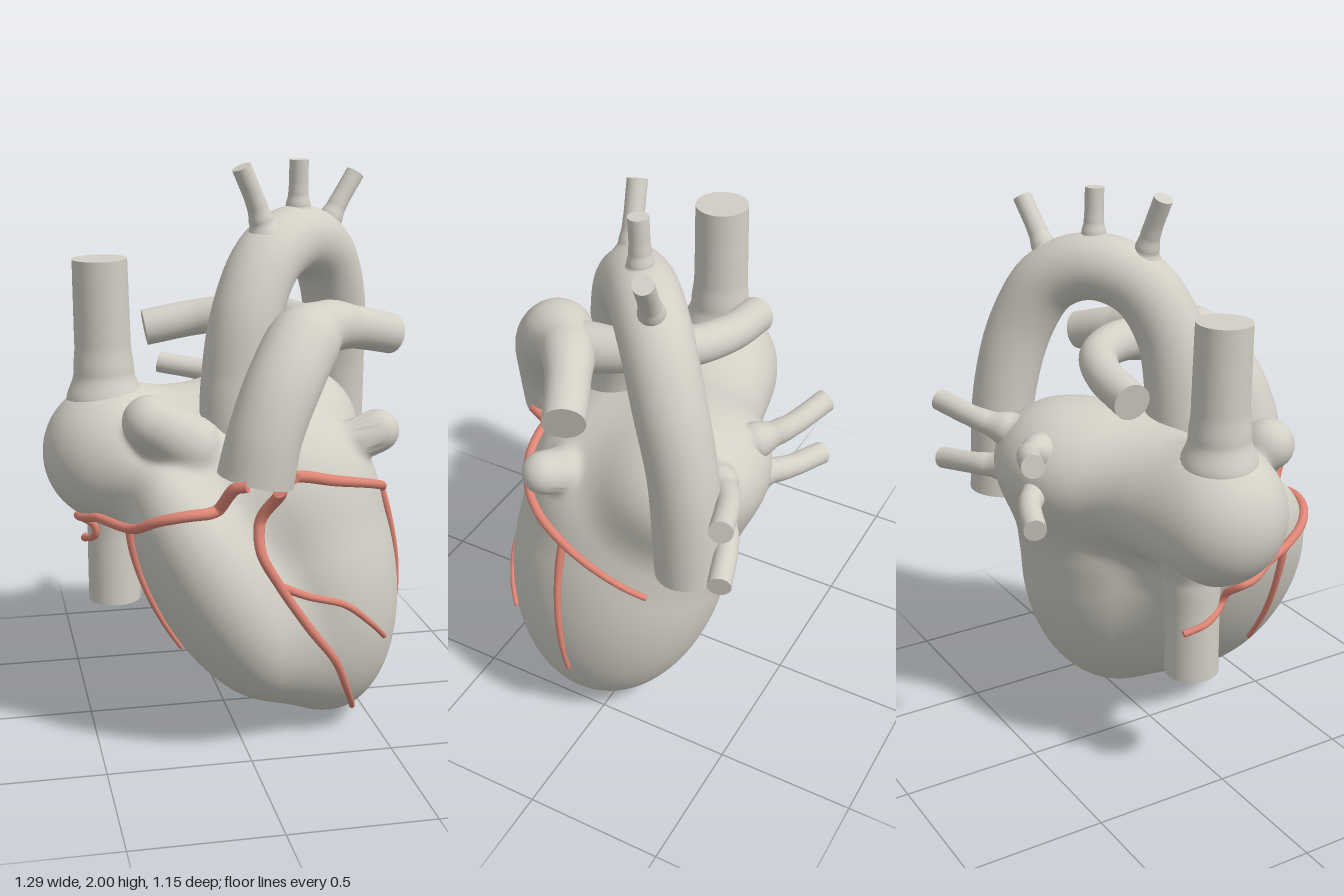
import * as THREE from 'three';

const V = (a) => new THREE.Vector3(...a);

// Chambers: centre, radii, lean in x and z per unit of height
const chambers = [
  { c: [0.265, 0.6, 0.045], r: [0.352, 0.6, 0.405], lean: [-0.15, -0.08] }, // left ventricle
  { c: [-0.08, 0.585, 0.25], r: [0.25, 0.455, 0.315], lean: [-0.4, 0] },    // right ventricle
  { c: [0.14, 0.4, 0.16], r: [0.24, 0.29, 0.27], lean: [-0.35, 0] },        // wall between the ventricles
  { c: [0.1, 0.88, 0.12], r: [0.4, 0.28, 0.28], lean: [0, 0] },             // base between the chambers
  { c: [0.235, 0.84, -0.11], r: [0.26, 0.27, 0.26], lean: [0, 0] },         // rear base
  { c: [-0.4, 1.0, 0.02], r: [0.248, 0.25, 0.243], lean: [0, 0] },          // right atrium
  { c: [-0.09, 1.0, -0.06], r: [0.35, 0.215, 0.235], lean: [0, 0] },        // wall between the atria
  { c: [0.21, 1.02, -0.2], r: [0.33, 0.24, 0.275], lean: [0, 0] },          // left atrium
];
// Ear-shaped pouches: start, end, start radius, end radius
const auricles = [
  { a: V([-0.17, 1.065, 0.25]), b: V([-0.31, 1.165, 0.295]), ra: 0.11, rb: 0.092 },
  { a: V([0.41, 1.03, 0.17]), b: V([0.515, 1.072, 0.192]), ra: 0.068, rb: 0.076 },
];

function ellipsoidDistance(p, { c, r, lean }) {
  const y = p.y - c[1], x = p.x - c[0] - lean[0] * y, z = p.z - c[2] - lean[1] * y;
  const k0 = Math.hypot(x / r[0], y / r[1], z / r[2]);
  const k1 = Math.hypot(x / r[0] ** 2, y / r[1] ** 2, z / r[2] ** 2);
  return k1 < 1e-6 ? -Math.min(...r) : (k0 * (k0 - 1)) / k1;
}

function pouchDistance(p, { a, b, ra, rb }) {
  const ab = b.clone().sub(a);
  const t = THREE.MathUtils.clamp(p.clone().sub(a).dot(ab) / ab.lengthSq(), 0, 1);
  return p.distanceTo(a.clone().addScaledVector(ab, t)) - ra - (rb - ra) * t;
}

function blend(a, b, k) {
  const h = Math.max(k - Math.abs(a - b), 0) / k;
  return Math.min(a, b) - h * h * k * 0.25;
}

function heartDistance(p) {
  let d = 10;
  for (const e of chambers) d = blend(d, ellipsoidDistance(p, e), 0.11);
  for (const e of auricles) d = blend(d, pouchDistance(p, e), 0.04);
  return d;
}

function heartNormal(p) {
  const e = 0.004, n = new THREE.Vector3();
  for (const axis of ['x', 'y', 'z']) {
    const q = p.clone();
    q[axis] += e;
    n[axis] = heartDistance(q);
    q[axis] -= 2 * e;
    n[axis] -= heartDistance(q);
  }
  return n.normalize();
}

// Moves a point onto the heart wall
function ontoWall(a, lift) {
  const p = V(a);
  for (let i = 0; i < 6; i++) p.addScaledVector(heartNormal(p), (lift - heartDistance(p)) * 0.8);
  return p.toArray();
}

// A sphere whose vertices are pulled onto the blended chambers
function heartWall(material) {
  const geo = new THREE.SphereGeometry(1, 220, 150);
  const centre = V([0, 0.85, 0.08]);
  const pos = geo.attributes.position, nor = geo.attributes.normal;
  const dir = new THREE.Vector3(), p = new THREE.Vector3();
  for (let i = 0; i < pos.count; i++) {
    dir.fromBufferAttribute(pos, i).normalize();
    let t = 1.3;
    for (let s = 0; s < 60; s++) {
      const d = heartDistance(p.copy(centre).addScaledVector(dir, t));
      if (Math.abs(d) < 0.0005) break;
      t -= d * 0.7;
    }
    pos.setXYZ(i, p.x, p.y, p.z);
    const n = heartNormal(p);
    nor.setXYZ(i, n.x, n.y, n.z);
  }
  const mesh = new THREE.Mesh(geo, material);
  mesh.name = 'heartChambers';
  return mesh;
}

// Capped tube whose radius follows a list spread evenly along its length
function vessel(name, points, radii, material, sides = 32, steps = 60) {
  const curve = new THREE.CatmullRomCurve3(points.map(V));
  const length = curve.getLength();
  const radiusAt = (u) => {
    const f = THREE.MathUtils.clamp(u, 0, 1) * (radii.length - 1);
    const i = Math.min(Math.floor(f), radii.length - 2);
    return THREE.MathUtils.lerp(radii[i], radii[i + 1], THREE.MathUtils.smoothstep(f - i, 0, 1));
  };
  const geo = new THREE.TubeGeometry(curve, steps, 1, sides);
  const pos = geo.attributes.position, nor = geo.attributes.normal;
  const p = new THREE.Vector3(), n = new THREE.Vector3();
  for (let i = 0; i <= steps; i++) {
    const u = i / steps, c = curve.getPointAt(u), tangent = curve.getTangentAt(u), r = radiusAt(u);
    const slope = (radiusAt(u + 0.01) - radiusAt(u - 0.01)) / (0.02 * length);
    for (let j = 0; j <= sides; j++) {
      const k = i * (sides + 1) + j;
      p.fromBufferAttribute(pos, k).sub(c).multiplyScalar(r).add(c);
      n.fromBufferAttribute(nor, k).addScaledVector(tangent, -slope).normalize();
      pos.setXYZ(k, p.x, p.y, p.z);
      nor.setXYZ(k, n.x, n.y, n.z);
    }
  }
  const group = new THREE.Group();
  group.name = name;
  const tube = new THREE.Mesh(geo, material);
  tube.name = name + 'Wall';
  group.add(tube);
  for (const u of [0, 1]) {
    const cap = new THREE.Mesh(new THREE.CircleGeometry(radiusAt(u), sides), material);
    const c = curve.getPointAt(u);
    cap.name = name + 'End';
    cap.position.copy(c);
    cap.lookAt(c.clone().addScaledVector(curve.getTangentAt(u), u ? 1 : -1));
    group.add(cap);
  }
  return group;
}

export function createModel() {
  const tissue = new THREE.MeshStandardMaterial({ color: 0xd2cfc5 });
  tissue.name = 'warmGrey';
  const arteryRed = new THREE.MeshStandardMaterial({ color: 0xde8575 });
  arteryRed.name = 'arteryRed';
  const model = new THREE.Group();
  model.name = 'heart';
  model.add(heartWall(tissue));

  const add = (name, points, radii) => model.add(vessel(name, points, radii, tissue));

  // Great vessels
  add('aorta', [[0.03, 1.0, 0.15], [0.02, 1.25, 0.14], [0.06, 1.5, 0.122], [0.145, 1.665, 0.05], [0.275, 1.722, -0.065],
    [0.395, 1.665, -0.175], [0.465, 1.51, -0.255], [0.495, 1.25, -0.325], [0.5, 0.86, -0.355]],
  [0.14, 0.125, 0.122, 0.12, 0.118, 0.115, 0.115]);
  add('pulmonaryTrunk', [[0.02, 0.99, 0.44], [0.055, 1.15, 0.44], [0.13, 1.31, 0.39], [0.22, 1.42, 0.295],
    [0.32, 1.45, 0.2], [0.45, 1.43, 0.12], [0.6, 1.39, 0.045]],
  [0.13, 0.125, 0.127, 0.127, 0.092, 0.075, 0.072]);
  add('rightPulmonaryArtery', [[0.26, 1.43, 0.2], [0.215, 1.45, 0.0], [0.11, 1.45, -0.14], [-0.05, 1.43, -0.21],
    [-0.25, 1.395, -0.22]], [0.09, 0.075, 0.068, 0.065, 0.065]);
  add('upperVenaCava', [[-0.425, 1.19, 0.01], [-0.43, 1.4, 0.01], [-0.435, 1.68, 0.015]],
    [0.135, 0.106, 0.098, 0.097, 0.096, 0.095]);
  add('lowerVenaCava', [[-0.39, 0.9, -0.07], [-0.395, 0.65, -0.07], [-0.395, 0.42, -0.07]],
    [0.13, 0.1, 0.095, 0.095, 0.095]);

  // Three branches on the aortic arch
  const branches = [
    [[0.135, 1.75, 0.06], [0.1, 1.86, 0.068], [0.045, 1.985, 0.083]],
    [[0.28, 1.8, -0.06], [0.28, 1.9, -0.057], [0.28, 2.0, -0.053]],
    [[0.41, 1.74, -0.175], [0.46, 1.83, -0.19], [0.53, 1.94, -0.21]],
  ];
  for (const path of branches) add('archBranch', path, [0.068, 0.044, 0.036, 0.034, 0.034, 0.034]);

  // Two pulmonary veins on each side of the left atrium
  for (const y of [1.2, 0.97]) {
    const root = y > 1.1 ? 1.12 : 1.0;
    add('leftPulmonaryVein', [[0.3, root, -0.33], [0.44, (root + y) / 2 + 0.01, -0.46], [0.63, y, -0.53]],
      [0.09, 0.065, 0.044, 0.04, 0.04, 0.04]);
    add('rightPulmonaryVein', [[0.14, root, -0.34], [0.02, (root + y) / 2 + 0.01, -0.47], [-0.15, y, -0.54]],
      [0.09, 0.065, 0.044, 0.04, 0.04, 0.04]);
  }

  // Coronary arteries lying on the heart wall; points marked FREE keep their place,
  // and any stretch that would sink into the wall is lifted out
  const FREE = true;
  const coronary = (name, points, r0, r1) => {
    const lift = r0 * 0.5;
    const guide = new THREE.CatmullRomCurve3(points.map(([x, y, z, free]) => V(free ? [x, y, z] : ontoWall([x, y, z], lift))));
    const path = guide.getSpacedPoints(30).map((p) => (heartDistance(p) < lift ? ontoWall(p.toArray(), lift) : p.toArray()));
    model.add(vessel(name, path, [r0, (r0 + r1) / 2, r1], arteryRed, 12, 70));
  };
  coronary('rightCoronaryArtery', [[-0.03, 1.0, 0.55, FREE], [-0.065, 0.99, 0.53, FREE], [-0.12, 0.9, 0.48],
    [-0.2, 0.88, 0.47], [-0.28, 0.86, 0.43], [-0.36, 0.82, 0.36], [-0.48, 0.82, 0.16], [-0.525, 0.79, 0.04],
    [-0.475, 0.73, 0.015, FREE], [-0.467, 0.69, 0.005, FREE], [-0.5, 0.65, -0.08, FREE], [-0.49, 0.63, -0.165, FREE]],
  0.021, 0.012);
  coronary('rightMarginalArtery', [[-0.37, 0.81, 0.32], [-0.37, 0.68, 0.32], [-0.31, 0.5, 0.32], [-0.22, 0.35, 0.31]],
    0.015, 0.009);
  coronary('frontDescendingArtery', [[0.08, 0.97, 0.53, FREE], [0.095, 0.95, 0.49, FREE], [0.045, 0.85, 0.47],
    [0.045, 0.74, 0.48], [0.1, 0.62, 0.48], [0.2, 0.46, 0.46], [0.3, 0.33, 0.42], [0.36, 0.2, 0.37],
    [0.43, 0.05, 0.27]], 0.021, 0.011);
  coronary('diagonalArtery', [[0.1, 0.63, 0.49], [0.2, 0.575, 0.47], [0.33, 0.53, 0.44], [0.42, 0.45, 0.4],
    [0.5, 0.365, 0.35]], 0.015, 0.009);
  coronary('circumflexArtery', [[0.14, 1.0, 0.48, FREE], [0.18, 0.985, 0.41], [0.3, 0.94, 0.35], [0.45, 0.89, 0.25],
    [0.54, 0.83, 0.1], [0.55, 0.76, -0.06], [0.52, 0.69, -0.2]], 0.021, 0.011);
  coronary('leftMarginalArtery', [[0.54, 0.84, 0.1], [0.57, 0.7, 0.1], [0.62, 0.5, 0.09], [0.63, 0.28, 0.07]],
    0.015, 0.009);
  return model;
}
